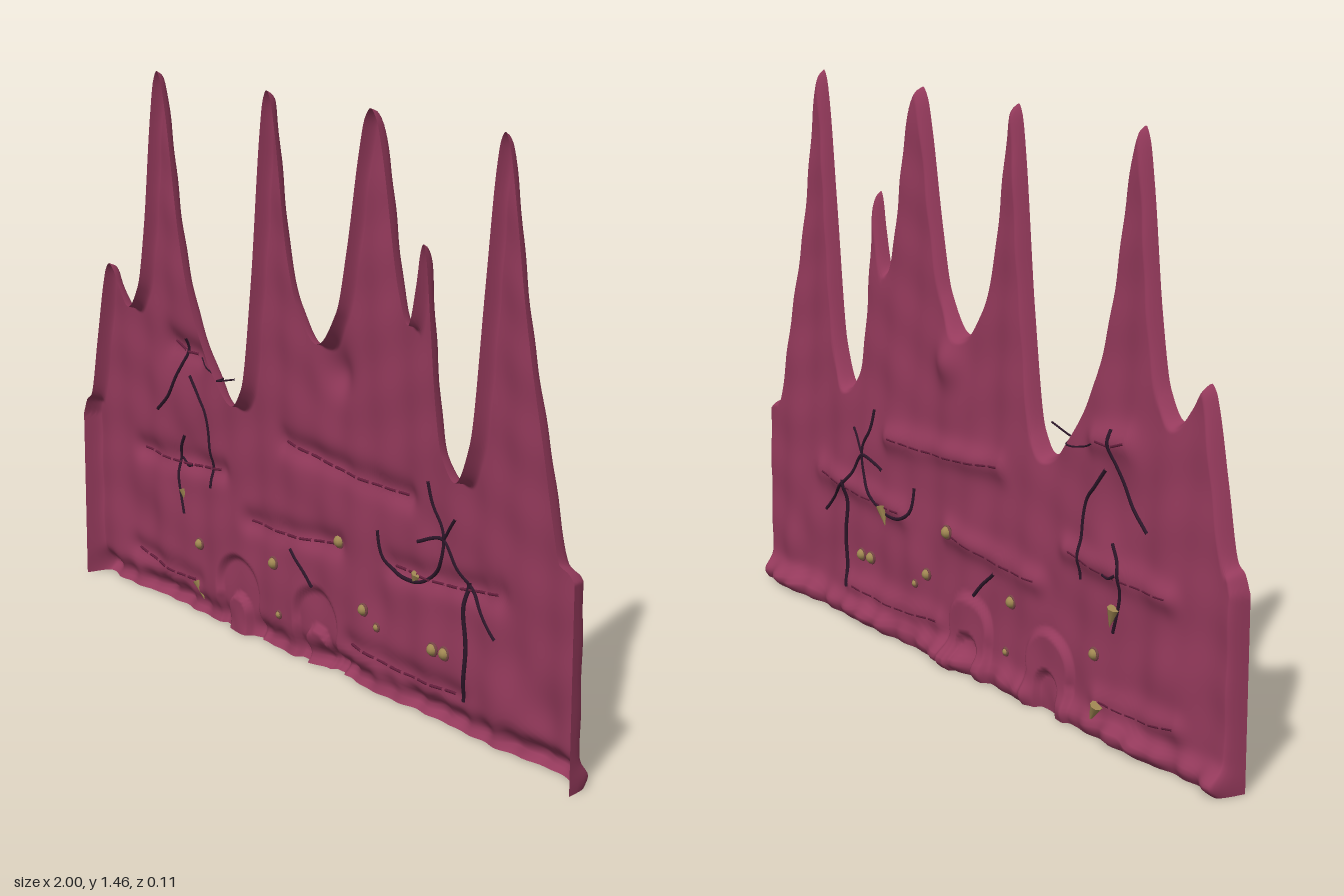
import * as THREE from 'three';

const mat = (name, color, side = THREE.FrontSide) => {
  const m = new THREE.MeshStandardMaterial({ color, side });
  m.name = name;
  return m;
};

// Skyline of the wall: x, height
const skyline = [
  [-1, 0.47], [-0.98, 0.515], [-0.96, 0.53], [-0.92, 0.7], [-0.885, 0.86], [-0.87, 0.905], [-0.855, 0.92],
  [-0.835, 0.905], [-0.81, 0.865], [-0.765, 0.815], [-0.715, 0.88], [-0.68, 1.05], [-0.645, 1.33],
  [-0.625, 1.44], [-0.61, 1.465], [-0.595, 1.445], [-0.575, 1.37], [-0.52, 1.05], [-0.48, 0.9],
  [-0.43, 0.79], [-0.37, 0.7], [-0.29, 0.635], [-0.245, 0.69], [-0.2, 0.97], [-0.16, 1.35],
  [-0.145, 1.44], [-0.13, 1.465], [-0.115, 1.445], [-0.098, 1.37], [-0.05, 1.07], [-0.01, 0.95],
  [0.07, 0.865], [0.15, 0.96], [0.19, 1.12], [0.235, 1.36], [0.256, 1.44], [0.277, 1.465], [0.3, 1.44],
  [0.323, 1.36], [0.385, 1.05], [0.42, 0.975], [0.45, 1.08], [0.463, 1.155], [0.473, 1.175],
  [0.483, 1.15], [0.5, 1.0], [0.522, 0.8], [0.545, 0.69], [0.593, 0.635], [0.645, 0.74], [0.69, 1.12],
  [0.718, 1.37], [0.733, 1.445], [0.747, 1.465], [0.761, 1.44], [0.79, 1.29], [0.82, 1.1], [0.85, 0.95],
  [0.89, 0.78], [0.93, 0.6], [0.95, 0.53], [0.98, 0.518], [1, 0.5],
];

// Smooth height through the skyline, level at each peak and dip
const secant = (i) => (skyline[i + 1][1] - skyline[i][1]) / (skyline[i + 1][0] - skyline[i][0]);
function slope(i) {
  if (i === 0) return secant(0);
  if (i === skyline.length - 1) return secant(i - 1);
  const a = secant(i - 1), b = secant(i);
  return a * b <= 0 ? 0 : (2 * a * b) / (a + b);
}
function height(x) {
  let i = 0;
  while (i < skyline.length - 2 && x > skyline[i + 1][0]) i++;
  const [x0, y0] = skyline[i], [x1, y1] = skyline[i + 1], w = x1 - x0, t = (x - x0) / w;
  const t2 = t * t, t3 = t2 * t;
  return y0 * (2 * t3 - 3 * t2 + 1) + slope(i) * w * (t3 - 2 * t2 + t)
    + y1 * (3 * t2 - 2 * t3) + slope(i + 1) * w * (t3 - t2);
}

const COLS = 440, ROWS = 100, FRONT = 0.058;
const outline = Array.from({ length: COLS + 1 }, (_, i) => {
  const x = -1 + (2 * i) / COLS;
  return [x, height(x)];
});

function segDist(px, py, ax, ay, bx, by) {
  const dx = bx - ax, dy = by - ay;
  const t = THREE.MathUtils.clamp(((px - ax) * dx + (py - ay) * dy) / (dx * dx + dy * dy), 0, 1);
  return Math.hypot(px - ax - t * dx, py - ay - t * dy);
}
function edgeDist(x, y) {
  if (y >= height(x) - 1e-6) return 0;
  let d = Math.max(0, 1 - Math.abs(x));
  const c = Math.round(((x + 1) / 2) * COLS);
  for (let i = Math.max(0, c - 8); i < Math.min(COLS, c + 8); i++) {
    d = Math.min(d, segDist(x, y, ...outline[i], ...outline[i + 1]));
  }
  return d;
}

// Long horizontal folds, each with a broken seam along it
const folds = [
  [-0.82, 0.11, -0.53, 0.09], [-0.78, 0.41, -0.4, 0.43], [-0.28, 0.32, 0.09, 0.35],
  [-0.12, 0.57, 0.37, 0.54], [0.31, 0.35, 0.7, 0.38], [0.14, 0.1, 0.55, 0.09], [-0.62, 0.74, -0.5, 0.725],
];
// Soft lumps: x, y, radius, depth
const lumps = [
  [0.11, 0.79, 0.055, 0.024], [-0.59, 0.72, 0.07, 0.014], [-0.56, 0.46, 0.05, 0.01], [0.76, 0.25, 0.07, 0.01],
  [-0.8, 0.2, 0.08, 0.012], [0.45, 0.5, 0.06, 0.01], [0.25, 0.24, 0.06, 0.01], [0.85, 0.12, 0.07, 0.01],
];
const arches = [-0.335, 0];
const bell = (d, w) => Math.exp(-(d * d) / (w * w));
const ramp = THREE.MathUtils.smoothstep;

// Depth of the shell behind its open front
function surfaceZ(x, y) {
  const r = 1 - Math.min(1, edgeDist(x, y) / 0.02);
  const rim = 1 - r * r;
  let d = 0.031 + 0.016 * ramp(1.1 - y, 0, 0.8);
  const wob = Math.sin(x * 23 + Math.sin(y * 5)) + 0.7 * Math.sin(x * 51 + 1 + y * 2);
  d += 0.0028 * wob + 0.0014 * Math.sin(y * 37 + Math.sin(x * 9) * 2);
  for (const f of folds) d += 0.015 * bell(segDist(x, y, ...f), 0.032);
  for (const [lx, ly, lr, ld] of lumps) d += ld * bell(Math.hypot(x - lx, y - ly), lr);
  const gap = 1 - bell(x + 0.33, 0.09);
  d += (0.034 + 0.012 * Math.sin(x * 17) + 0.005 * Math.sin(x * 71)) * bell(y - 0.025, 0.03) * gap;
  for (const ax of arches) {
    const c = segDist(x, y, ax, -0.1, ax, 0.06);
    const c2 = Math.hypot(x - ax, y - 0.12);
    d += 0.017 * ramp(c, 0.036, 0.048) * (1 - ramp(Math.min(c, c2), 0.075, 0.095));
  }
  return FRONT - rim * d;
}

// Wall shell as a grid of columns under the skyline
function wallGeometry() {
  const pos = [], index = [];
  for (const [x, h] of outline) {
    for (let j = 0; j <= ROWS; j++) {
      const t = j / ROWS, y = h * (1 - Math.pow(1 - t, 1.3));
      pos.push(x, y, surfaceZ(x, y));
    }
  }
  for (let i = 0; i < COLS; i++) {
    for (let j = 0; j < ROWS; j++) {
      const a = i * (ROWS + 1) + j, b = a + ROWS + 1;
      index.push(a, b, b + 1, a, b + 1, a + 1);
    }
  }
  const g = new THREE.BufferGeometry();
  g.setAttribute('position', new THREE.Float32BufferAttribute(pos, 3));
  g.setIndex(index);
  g.computeVertexNormals();
  return g;
}

// Roots: radius, then x, y pairs
const roots = [
  [0.005, -0.56, 0.76, -0.565, 0.71, -0.6, 0.65, -0.635, 0.59, -0.69, 0.54],
  [0.005, -0.54, 0.66, -0.5, 0.61, -0.465, 0.565, -0.452, 0.48, -0.45, 0.37],
  [0.005, -0.575, 0.49, -0.605, 0.43, -0.6, 0.35, -0.575, 0.27],
  [0.004, -0.6, 0.42, -0.57, 0.405, -0.55, 0.41],
  [0.005, 0.45, 0.6, 0.465, 0.54, 0.5, 0.48, 0.485, 0.4, 0.42, 0.34, 0.33, 0.33, 0.27, 0.36, 0.255, 0.43],
  [0.005, 0.41, 0.44, 0.5, 0.465, 0.56, 0.39, 0.62, 0.34, 0.69, 0.27],
  [0.006, 0.58, 0.38, 0.575, 0.3, 0.585, 0.2, 0.57, 0.08],
  [0.0045, 0.5, 0.465, 0.55, 0.53],
  [0.005, -0.1, 0.29, -0.05, 0.25, -0.015, 0.21],
  [0.0025, -0.5, 0.715, -0.45, 0.695, -0.38, 0.685, -0.27, 0.71],
];
function surfaceTube(radius, flat, shift = 0) {
  const pts = [];
  for (let i = 0; i < flat.length; i += 2) pts.push(new THREE.Vector2(flat[i], flat[i + 1]));
  const path = new THREE.SplineCurve(pts).getPoints(24)
    .map((p) => new THREE.Vector3(p.x, p.y, surfaceZ(p.x, p.y) + shift));
  return new THREE.TubeGeometry(new THREE.CatmullRomCurve3(path), 36, radius, 6);
}

export function createModel() {
  const model = new THREE.Group();
  const flesh = mat('dark rose', 0x953a5c, THREE.DoubleSide);
  const rootMat = mat('dark plum', 0x2c1629);
  const seamMat = mat('deep wine', 0x651f3d);
  const budMat = mat('olive tan', 0xa08752);
  const cupMat = mat('dusky brown', 0x7a4648);
  const add = (name, geometry, material) => {
    const mesh = new THREE.Mesh(geometry, material);
    mesh.name = name;
    model.add(mesh);
    return mesh;
  };

  add('spikedWall', wallGeometry(), flesh);
  for (const [radius, ...flat] of roots) add('root', surfaceTube(radius, flat), rootMat);

  // Broken seams along the folds, set towards the front
  for (const [ax, ay, bx, by] of folds) {
    const count = Math.round((bx - ax) / 0.05);
    const point = (t) => [ax + (bx - ax) * t, ay + (by - ay) * t - 0.012 * Math.sin(Math.PI * t)];
    for (let i = 0; i < count; i++) {
      const dash = [...point(i / count), ...point((i + 0.8) / count)];
      add('seam', surfaceTube(0.0035, dash, 0.002), seamMat);
    }
  }

  // Round buds in brown cups, and slim pointed ones
  for (const [x, y, r] of [[-0.17, 0.235, 0.015], [0.085, 0.355, 0.016], [0.2, 0.21, 0.014],
    [0.47, 0.185, 0.015], [0.51, 0.185, 0.015], [-0.51, 0.2, 0.014], [0.245, 0.175, 0.009], [-0.15, 0.1, 0.009]]) {
    const z = surfaceZ(x, y);
    add('bud', new THREE.SphereGeometry(r, 12, 8), budMat).position.set(x, y, z);
    add('budCup', new THREE.TorusGeometry(r, 0.004, 6, 14), cupMat).position.set(x, y, z);
  }
  for (const [x, y, tilt] of [[-0.58, 0.31, 0.3], [0.385, 0.325, -0.3], [-0.53, 0.06, 0.5]]) {
    const thorn = add('thorn', new THREE.ConeGeometry(0.016, 0.055, 8), budMat);
    thorn.position.set(x, y, surfaceZ(x, y) - 0.008);
    thorn.rotation.z = Math.PI + tilt;
  }
  return model;
}
